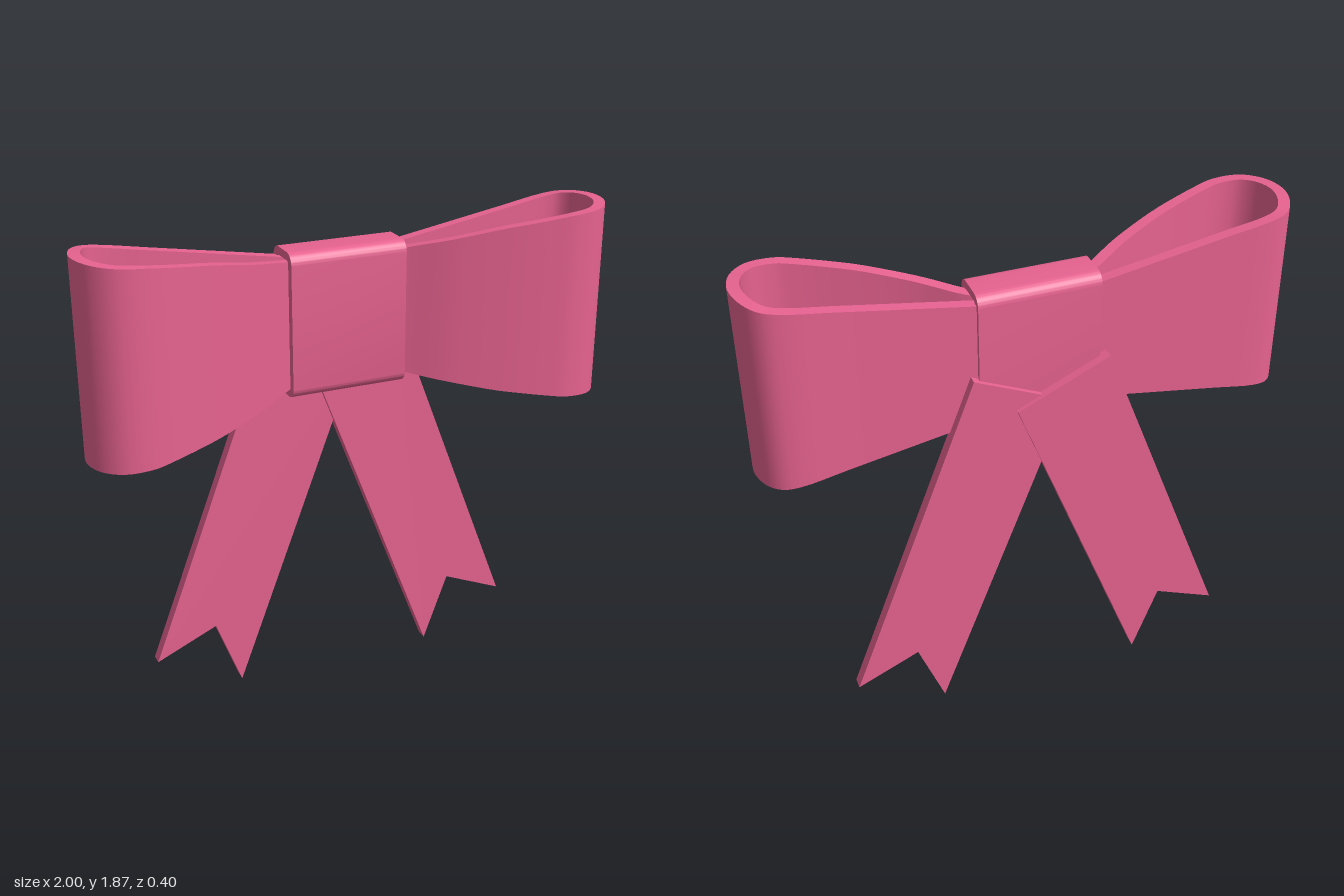
import * as THREE from 'three';
import { mergeGeometries, toCreasedNormals } from 'three/addons/utils/BufferGeometryUtils.js';

const CENTRE_Y = 1.508;
const THICK = 0.042;

// Smooth strip of quads between two rows of points
function strip(a, b) {
  const pos = [], idx = [];
  a.forEach((p, i) => {
    pos.push(...p, ...b[i]);
    if (i < a.length - 1) {
      const k = 2 * i;
      idx.push(k, k + 2, k + 3, k, k + 3, k + 1);
    }
  });
  const g = new THREE.BufferGeometry();
  g.setAttribute('position', new THREE.Float32BufferAttribute(pos, 3));
  g.setIndex(idx);
  g.computeVertexNormals();
  return g;
}

// Piecewise linear lookup
function lookup(table, x) {
  for (let i = 1; i < table.length; i++) {
    const [x0, y0] = table[i - 1], [x1, y1] = table[i];
    if (x <= x1) return y0 + (y1 - y0) * (x - x0) / (x1 - x0);
  }
  return table[table.length - 1][1];
}

// Half height of the ribbon along its front and back runs
const FRONT_HALF = [[0, 0.2], [0.22, 0.235], [0.55, 0.31], [0.8, 0.35], [1, 0.367]];
const BACK_HALF = [[0, 0.2], [0.22, 0.235], [0.87, 0.345], [1, 0.367]];

// Ribbon centreline seen from above: out along the front, back along the rear
const LOOP_PATH = [
  [0, -0.09], [0.1, -0.09], [0.22, -0.055], [0.375, 0.033], [0.57, 0.112], [0.74, 0.164],
  [0.82, 0.178], [0.9, 0.163], [0.957, 0.105], [0.979, 0.02], [0.957, -0.07],
  [0.92, -0.117], [0.865, -0.134], [0.7, -0.134], [0.4, -0.134], [0, -0.134],
];

function loopGeometry(side) {
  const curve = new THREE.CatmullRomCurve3(LOOP_PATH.map(([x, z]) => new THREE.Vector3(x, 0, z)), false, 'centripetal');
  const n = 60;
  const outLow = [], outHigh = [], inLow = [], inHigh = [];
  for (let i = 0; i <= n; i++) {
    const p = curve.getPoint(i / n), t = curve.getTangent(i / n);
    const w = THREE.MathUtils.smoothstep(p.z, -0.13, 0);
    const half = THREE.MathUtils.lerp(lookup(BACK_HALF, p.x), lookup(FRONT_HALF, p.x), w);
    const dx = -t.z * THICK / 2, dz = t.x * THICK / 2;
    const at = (s, h) => [side * (p.x + s * dx), CENTRE_Y + h * half, p.z + s * dz];
    outLow.push(at(1, -1));
    outHigh.push(at(1, 1));
    inLow.push(at(-1, -1));
    inHigh.push(at(-1, 1));
  }
  const rows = [[outLow, outHigh], [inHigh, inLow], [outHigh, inHigh], [inLow, outLow]];
  return mergeGeometries(rows.map(([a, b]) => (side > 0 ? strip(a, b) : strip(b, a))));
}

// Rounded rectangle traced counter-clockwise
function roundedRect(path, x0, y0, x1, y1, r) {
  path.absarc(x1 - r, y0 + r, r, -Math.PI / 2, 0);
  path.absarc(x1 - r, y1 - r, r, 0, Math.PI / 2);
  path.absarc(x0 + r, y1 - r, r, Math.PI / 2, Math.PI);
  path.absarc(x0 + r, y0 + r, r, Math.PI, Math.PI * 1.5);
  path.closePath();
  return path;
}

// Open band wrapped round the middle
function knotGeometry() {
  const width = 0.446, t = 0.03;
  const shape = roundedRect(new THREE.Shape(), 0, 1.238, 0.17, 1.78, 0.042);
  shape.holes.push(roundedRect(new THREE.Path(), t, 1.238 + t, 0.17 - t, 1.78 - t, 0.014));
  const g = new THREE.ExtrudeGeometry(shape, { depth: width, bevelEnabled: false, curveSegments: 6 });
  g.translate(0, 0, -width / 2);
  g.rotateY(Math.PI / 2);
  return toCreasedNormals(g, 0.6);
}

// Slanted tail with a notched end
function tailGeometry(side, zBack) {
  const outline = [[0.25, 1.468], [-0.095, 1.312], [0.405, 0], [0.505, 0.27], [0.747, 0.165]];
  const shape = new THREE.Shape(outline.map(([x, y]) => new THREE.Vector2(side * x, y)));
  const g = new THREE.ExtrudeGeometry(shape, { depth: 0.045, bevelEnabled: false });
  g.translate(0, 0, zBack);
  return g;
}

export function createModel() {
  const bow = new THREE.Group();
  bow.name = 'ribbonBow';
  const pink = new THREE.MeshStandardMaterial({ color: 0xe6628f });
  pink.name = 'pink';

  const add = (name, geometry) => {
    const mesh = new THREE.Mesh(geometry, pink);
    mesh.name = name;
    bow.add(mesh);
  };

  add('leftLoop', loopGeometry(1));
  add('rightLoop', loopGeometry(-1));
  add('knot', knotGeometry());
  add('leftTail', tailGeometry(1, -0.188));
  add('rightTail', tailGeometry(-1, -0.203));
  return bow;
}
